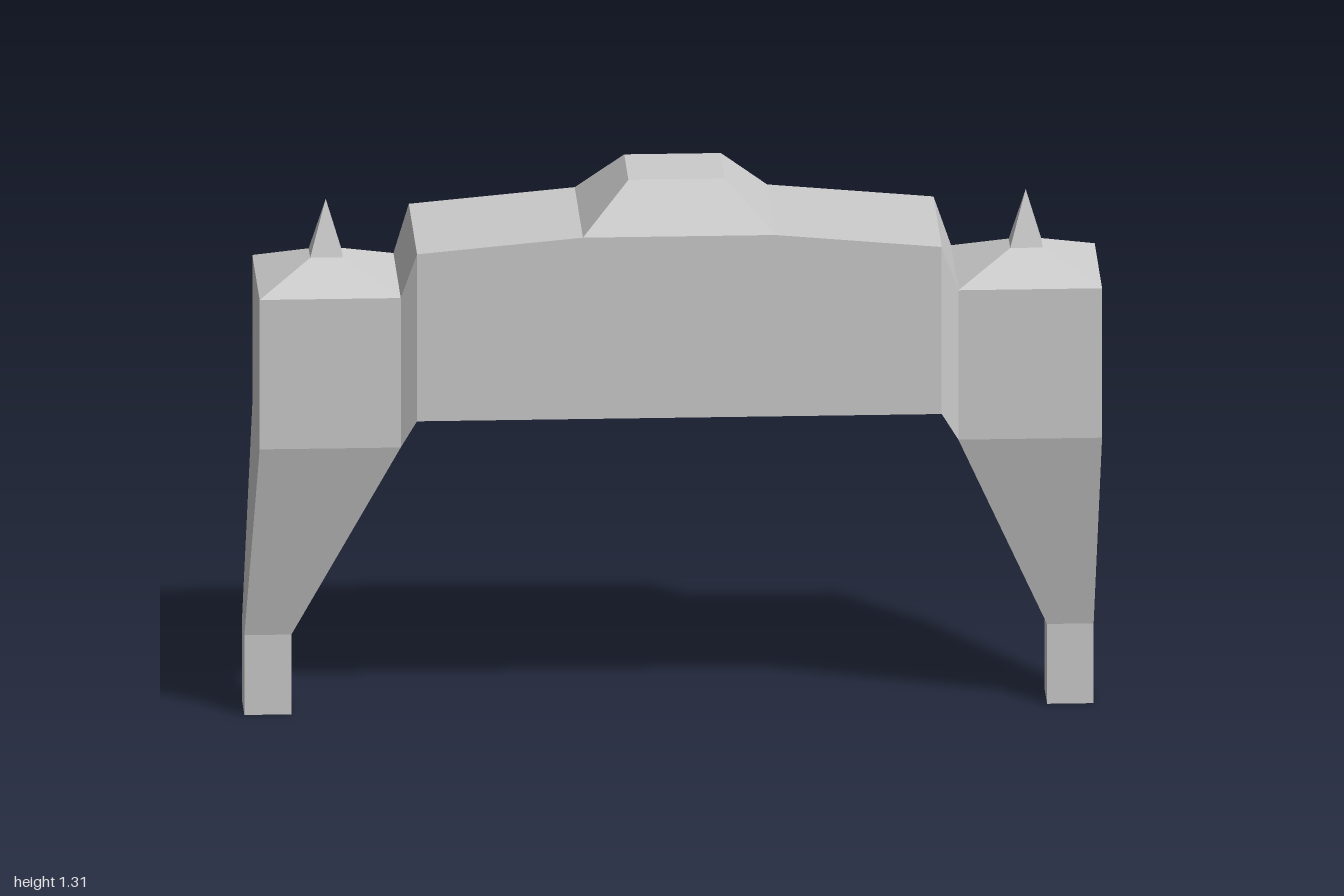
import * as THREE from 'three';

const material = new THREE.MeshStandardMaterial({ color: 0xcccccc, flatShading: true });

// Four corners, counter-clockwise as seen from the positive end of the loft axis
const ringY = (y, x0, x1, z) => [[x0, y, z], [x1, y, z], [x1, y, -z], [x0, y, -z]];
const ringX = (x, y0, y1, z) => [[x, y0, z], [x, y0, -z], [x, y1, -z], [x, y1, z]];

// Faceted solid through a row of four-cornered rings, capped at both ends
function loft(name, rings) {
  const positions = [];
  const quad = (a, b, c, d) => positions.push(...a, ...b, ...c, ...a, ...c, ...d);
  for (let i = 0; i < rings.length - 1; i++) {
    const lower = rings[i], upper = rings[i + 1];
    for (let k = 0; k < 4; k++) {
      const n = (k + 1) % 4;
      quad(lower[k], lower[n], upper[n], upper[k]);
    }
  }
  const [a, b, c, d] = rings[0];
  quad(d, c, b, a);
  quad(...rings[rings.length - 1]);
  const geometry = new THREE.BufferGeometry();
  geometry.setAttribute('position', new THREE.Float32BufferAttribute(positions, 3));
  geometry.computeVertexNormals();
  const mesh = new THREE.Mesh(geometry, material);
  mesh.name = name;
  return mesh;
}

// Foot, flared leg, square tower block with hipped roof, and a small spike
function tower(name, foot, block, spikeX) {
  const group = new THREE.Group();
  group.name = name;
  group.add(loft('leg', [
    ringY(0, ...foot, 0.06),
    ringY(0.195, ...foot, 0.06),
    ringY(0.685, ...block, 0.18),
    ringY(1.05, ...block, 0.18),
    ringY(1.108, spikeX - 0.038, spikeX + 0.038, 0.038),
  ]));
  const spike = new THREE.Mesh(
    new THREE.ConeGeometry(0.038 * Math.SQRT2, 0.132, 4, 1, true).rotateY(Math.PI / 4), material);
  spike.name = 'spike';
  spike.position.set(spikeX, 1.174, 0);
  group.add(spike);
  return group;
}

export function createModel() {
  const model = new THREE.Group();
  model.name = 'archway';

  model.add(tower('rightTower', [-1, -0.89], [-0.97, -0.64], -0.807));
  model.add(tower('leftTower', [0.877, 0.986], [0.664, 1], 0.83));

  // Bridging beam, rising gently to the middle and tapering into the towers
  model.add(loft('beam', [
    ringX(-0.64, 0.685, 1.05, 0.18),
    ringX(-0.603, 0.755, 1.163, 0.202),
    ringX(-0.215, 0.755, 1.198, 0.202),
    ringX(0.235, 0.755, 1.198, 0.202),
    ringX(0.624, 0.755, 1.163, 0.202),
    ringX(0.664, 0.685, 1.05, 0.18),
  ]));

  // Truncated pyramid on the middle of the beam
  model.add(loft('crown', [
    ringY(1.198, -0.215, 0.235, 0.202),
    ringY(1.307, -0.104, 0.122, 0.102),
  ]));

  return model;
}
